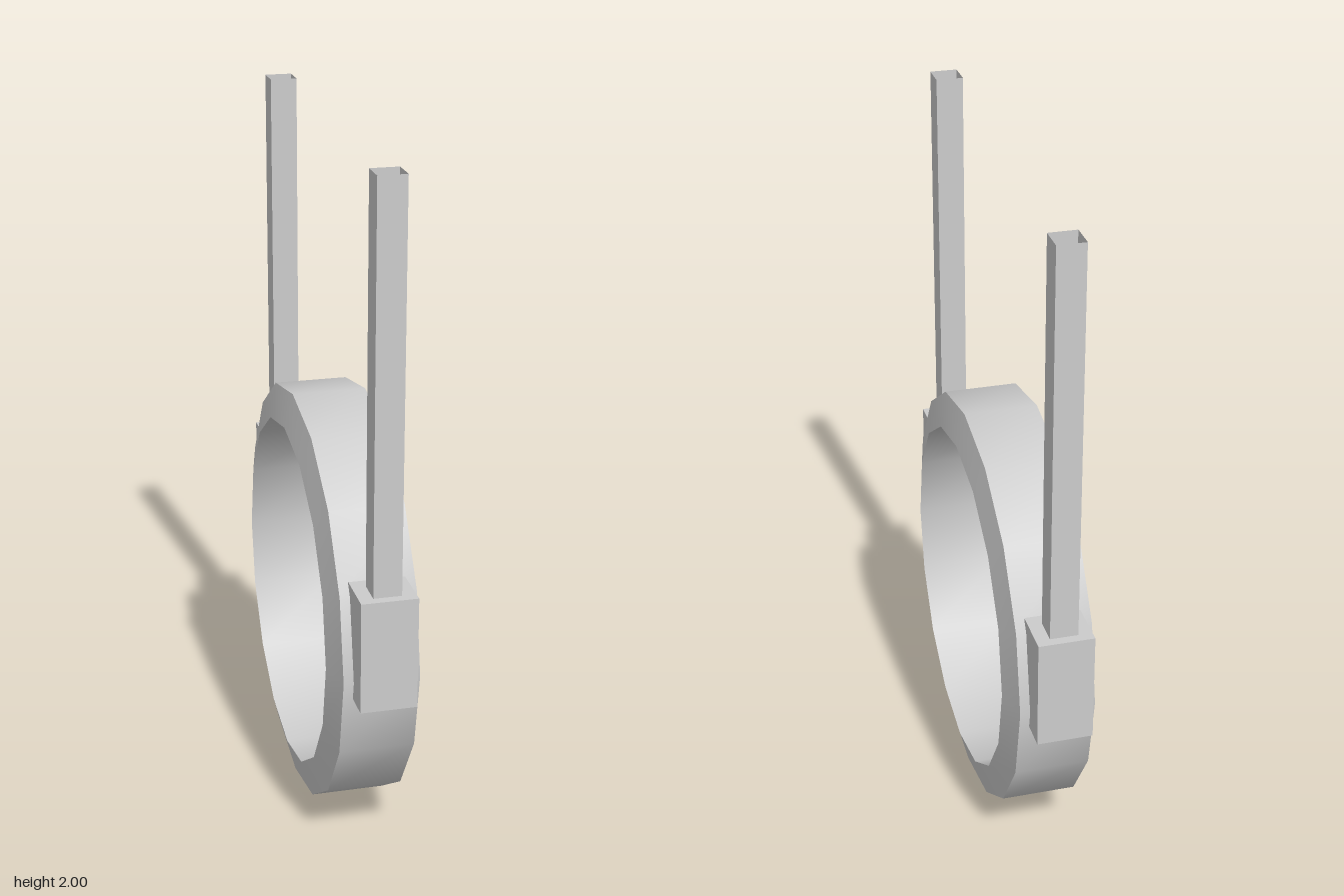
import * as THREE from 'three';
import { toCreasedNormals } from 'three/addons/utils/BufferGeometryUtils.js';

export function createModel() {
  const group = new THREE.Group();
  const material = new THREE.MeshStandardMaterial({ color: 0xcccccc });
  const openMaterial = new THREE.MeshStandardMaterial({
    color: 0xcccccc, flatShading: true, side: THREE.DoubleSide,
  });

  const add = (name, geometry, mat, x, y, z) => {
    const mesh = new THREE.Mesh(geometry, mat);
    mesh.name = name;
    mesh.position.set(x, y, z);
    group.add(mesh);
  };

  // Sixteen-sided ring on the x axis, its side faces sloping out towards the hole
  const R = 0.61, r = 0.51, outerHalf = 0.106, innerHalf = 0.131;
  const profile = [
    [r, -innerHalf], [R, -outerHalf], [R, outerHalf], [r, innerHalf], [r, -innerHalf],
  ].map(([a, b]) => new THREE.Vector2(a, b));
  const ring = new THREE.LatheGeometry(profile, 16).rotateZ(Math.PI / 2);
  add('ring', toCreasedNormals(ring, Math.PI / 6), material, 0, R, 0);

  // Mounting block and open square tube at the front and back of the ring
  const blockTop = 0.88, postHeight = 2 - blockTop, postWidth = 0.078;
  const block = new THREE.BoxGeometry(0.156, 0.32, 0.139);
  const post = new THREE.CylinderGeometry(
    postWidth / Math.SQRT2, postWidth / Math.SQRT2, postHeight, 4, 1, true,
  ).rotateY(Math.PI / 4);
  for (const [side, s] of [['front', 1], ['back', -1]]) {
    add(side + 'Block', block, material, 0, blockTop - 0.16, s * 0.6135);
    add(side + 'Post', post, openMaterial, 0, blockTop + postHeight / 2, s * 0.6175);
  }
  return group;
}
